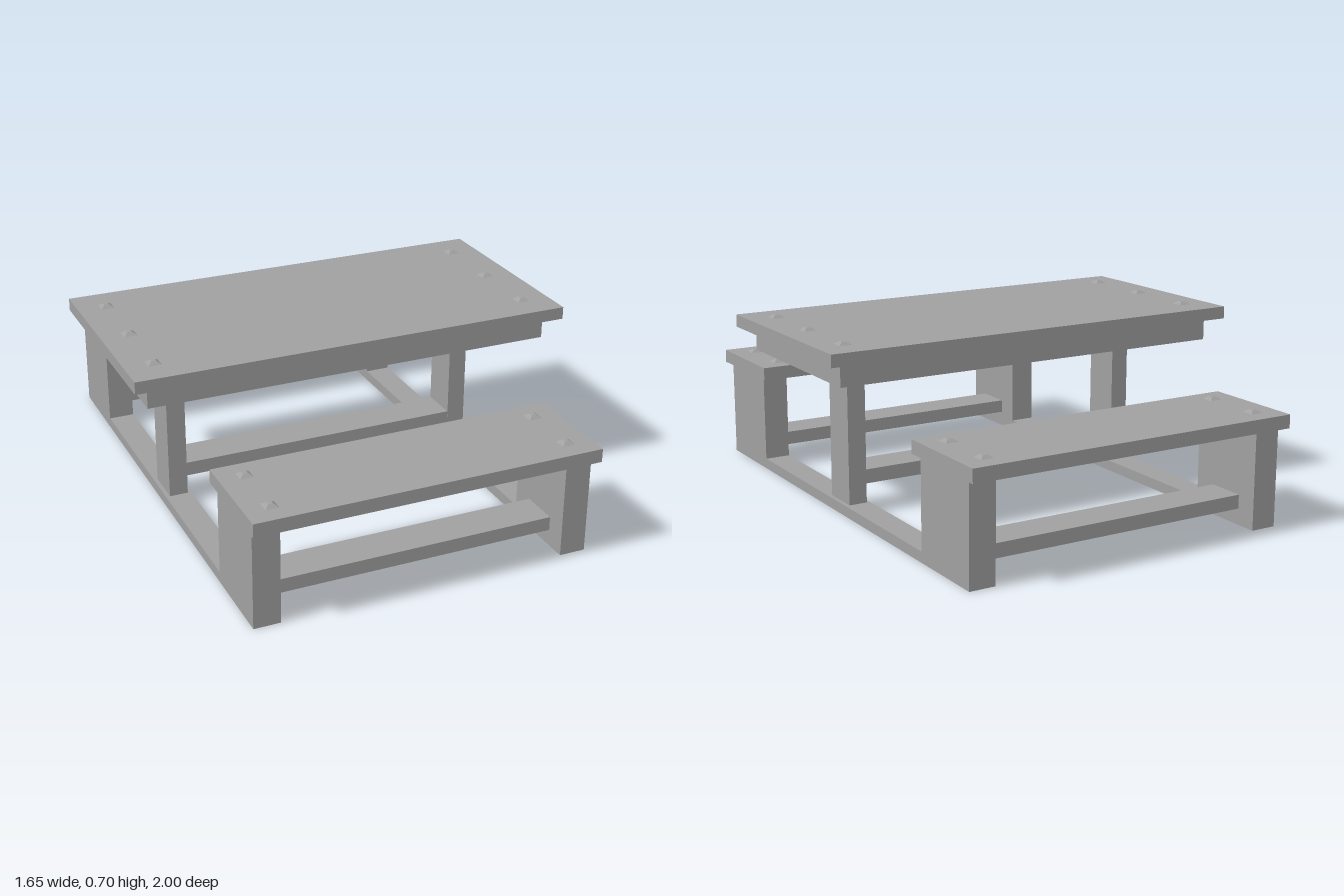
import * as THREE from 'three';

export function createModel() {
  const model = new THREE.Group();
  model.name = 'picnicTable';

  const grey = new THREE.MeshStandardMaterial({ color: 0xa0a0a0 });
  grey.name = 'grey';
  const greyOpen = new THREE.MeshStandardMaterial({ color: 0xa0a0a0, side: THREE.DoubleSide });
  greyOpen.name = 'grey';

  // Box given by its lower and upper limits on each axis
  function slab(name, [x0, x1], [y0, y1], [z0, z1]) {
    const mesh = new THREE.Mesh(new THREE.BoxGeometry(x1 - x0, y1 - y0, z1 - z0), grey);
    mesh.position.set((x0 + x1) / 2, (y0 + y1) / 2, (z0 + z1) / 2);
    mesh.name = name;
    model.add(mesh);
  }

  // Low square bolt cap with sloping sides
  const boltShape = new THREE.CylinderGeometry(0.012, 0.036, 0.012, 4);
  boltShape.rotateY(Math.PI / 4);
  const boltGeometry = boltShape.toNonIndexed();
  boltGeometry.computeVertexNormals();
  function bolt(x, y, z) {
    const mesh = new THREE.Mesh(boltGeometry, grey);
    mesh.position.set(x, y + 0.005, z);
    mesh.name = 'bolt';
    model.add(mesh);
  }

  // Side frame: two bench legs joined by a ground rail, hollow and open underneath
  const outline = new THREE.Shape([
    [-0.955, 0], [0.955, 0], [0.955, 0.37], [0.643, 0.37],
    [0.643, 0.04], [-0.643, 0.04], [-0.643, 0.37], [-0.955, 0.37],
  ].map(([z, y]) => new THREE.Vector2(z, y)));
  const solid = new THREE.ExtrudeGeometry(outline, { depth: 0.098, bevelEnabled: false });
  solid.rotateY(Math.PI / 2);
  const source = solid.getAttribute('position');
  const kept = [];
  for (let i = 0; i < source.count; i += 3) {
    const corners = [i, i + 1, i + 2];
    if (corners.every((c) => source.getY(c) < 1e-5)) continue;
    for (const c of corners) kept.push(source.getX(c), source.getY(c), source.getZ(c));
  }
  const frameGeometry = new THREE.BufferGeometry();
  frameGeometry.setAttribute('position', new THREE.Float32BufferAttribute(kept, 3));
  frameGeometry.computeVertexNormals();
  for (const [name, x] of [['rightSideFrame', -0.633], ['leftSideFrame', 0.527]]) {
    const frame = new THREE.Mesh(frameGeometry, greyOpen);
    frame.position.x = x;
    frame.name = name;
    model.add(frame);
  }

  // Table posts and the beam between them
  slab('rightPost', [-0.618, -0.548], [0.04, 0.558], [-0.073, 0.073]);
  slab('leftPost', [0.539, 0.609], [0.04, 0.558], [-0.073, 0.073]);
  slab('centreBeam', [-0.548, 0.539], [0.112, 0.165], [-0.072, 0.072]);

  // Table top on its thicker under panel
  slab('underPanel', [-0.772, 0.77], [0.557, 0.641], [-0.354, 0.354]);
  slab('tableTop', [-0.828, 0.826], [0.641, 0.687], [-0.404, 0.404]);
  for (const x of [-0.722, 0.72]) {
    for (const z of [-0.276, 0.004, 0.278]) bolt(x, 0.687, z);
  }

  // Benches with their lower beams
  for (const [side, s] of [['front', 1], ['back', -1]]) {
    const span = (a, b) => [Math.min(s * a, s * b), Math.max(s * a, s * b)];
    slab(side + 'Seat', [-0.645, 0.638], [0.37, 0.42], span(0.605, 1));
    slab(side + 'Beam', [-0.535, 0.527], [0.06, 0.112], span(0.73, 0.875));
    for (const x of [-0.552, 0.545]) {
      for (const z of [0.688, 0.91]) bolt(x, 0.42, s * z);
    }
  }

  return model;
}
